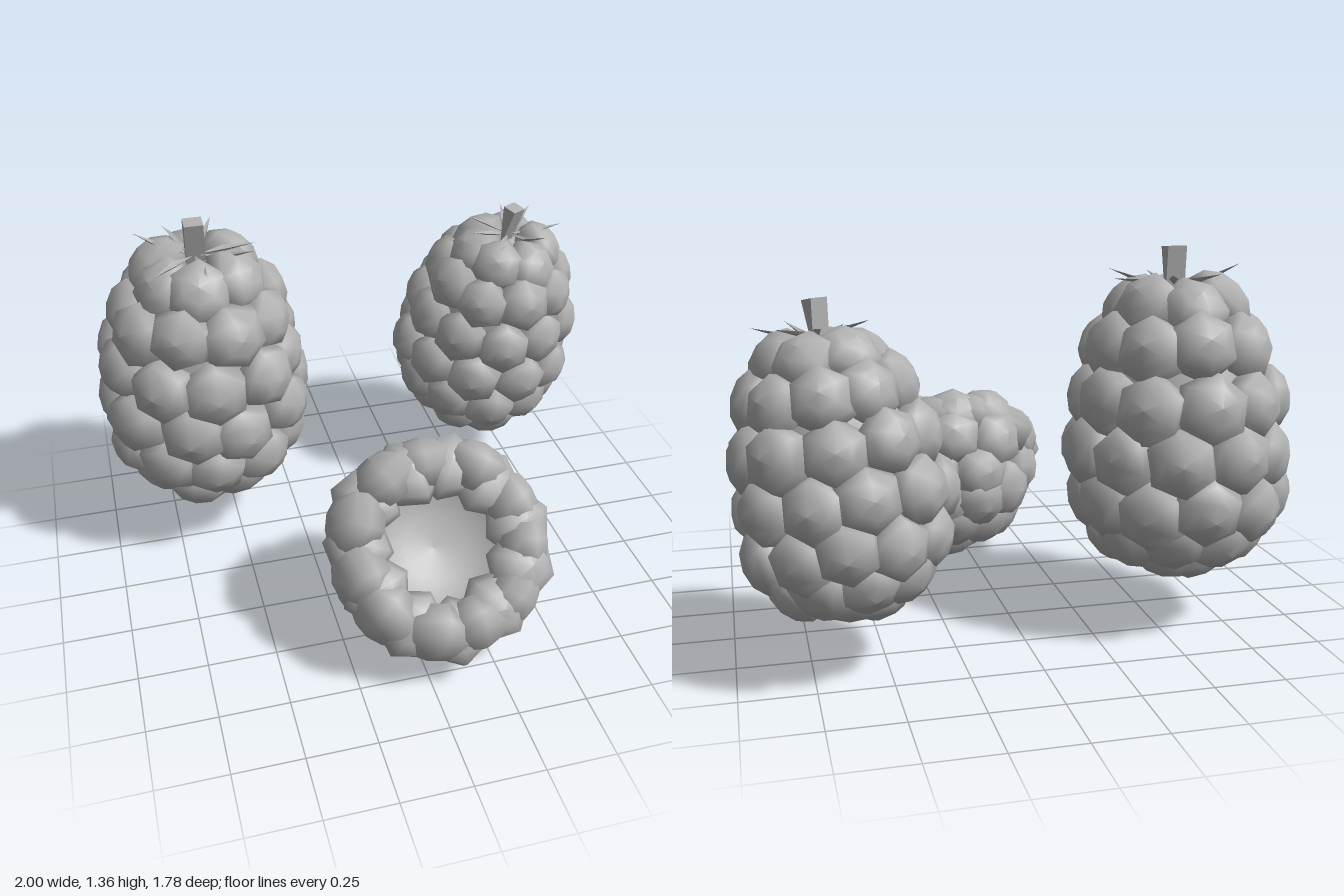
import * as THREE from 'three';

const berryGrey = new THREE.MeshStandardMaterial({ color: 0xb0b0b0, side: THREE.DoubleSide });
berryGrey.name = 'berryGrey';

// Small seeded random for natural irregularity
let seed = 7;
const rand = () => (seed = (seed * 16807) % 2147483647) / 2147483647 - 0.5;

const lathe = (points, sides) =>
  new THREE.LatheGeometry(points.map(([r, y]) => new THREE.Vector2(r, y)), sides);

function add(parent, name, geometry) {
  const mesh = new THREE.Mesh(geometry, berryGrey);
  mesh.name = name;
  parent.add(mesh);
  return mesh;
}

// Six-sided rounded bead; its outer tip sits at the origin
const bead = lathe([[0, -0.19], [0.09, -0.175], [0.13, -0.105], [0.115, -0.05], [0.065, -0.012], [0, 0]], 6);

// Rows of beads: [height, radius of the tips, elevation of the normal in degrees, count]
function addBeads(group, rows) {
  rows.forEach(([y, r, elevation, count], row) => {
    for (let i = 0; i < count; i++) {
      const a = ((i + (row % 2) / 2 + rand() * 0.14) / count) * Math.PI * 2;
      const e = THREE.MathUtils.degToRad(elevation) + rand() * 0.1;
      const out = new THREE.Vector3(Math.cos(e) * Math.sin(a), Math.sin(e), Math.cos(e) * Math.cos(a));
      const up = new THREE.Vector3(-Math.sin(e) * Math.sin(a), Math.cos(e), -Math.sin(e) * Math.cos(a));
      const side = new THREE.Vector3().crossVectors(out, up);
      const mesh = add(group, 'drupelet', bead);
      mesh.quaternion.setFromRotationMatrix(new THREE.Matrix4().makeBasis(side, out, up));
      mesh.rotateY(rand() * 0.4);
      const rr = r + rand() * 0.025;
      mesh.position.set(rr * Math.sin(a), y + rand() * 0.03, rr * Math.cos(a));
      mesh.scale.setScalar(1 + rand() * 0.08);
    }
  });
}

// Narrow folded leaf running out along +z with a raised tip
function sepalGeometry(length, rise) {
  const g = new THREE.BufferGeometry();
  g.setAttribute('position', new THREE.Float32BufferAttribute([
    0, 0, 0.01,
    -0.016, 0.02, length * 0.45,
    0, 0.005, length * 0.5,
    0.016, 0.02, length * 0.45,
    0, rise, length,
  ], 3));
  g.setIndex([0, 2, 1, 0, 3, 2, 1, 2, 4, 2, 3, 4]);
  g.computeVertexNormals();
  return g;
}

// Stem block that narrows to a wedge at its foot
function stemGeometry() {
  const g = new THREE.BoxGeometry(0.07, 0.17, 0.065);
  const p = g.attributes.position;
  for (let i = 0; i < p.count; i++) if (p.getY(i) < 0) p.setZ(i, p.getZ(i) * 0.15);
  g.computeVertexNormals();
  return g;
}

// Whole berry with stem and sepals, centred on its own middle
function wholeBerry(name) {
  const group = new THREE.Group();
  group.name = name;
  addBeads(group, [
    [0.5, 0.22, 42, 6],
    [0.325, 0.345, 18, 9],
    [0.125, 0.4, 7, 10],
    [-0.075, 0.42, 0, 10],
    [-0.275, 0.39, -15, 10],
    [-0.44, 0.28, -42, 8],
    [-0.535, 0.1, -72, 3],
  ]);
  add(group, 'core', lathe([[0, -0.46], [0.15, -0.42], [0.28, -0.27], [0.32, -0.07],
    [0.3, 0.13], [0.24, 0.33], [0.12, 0.46], [0, 0.48]], 16));
  const stem = add(group, 'stem', stemGeometry());
  stem.position.y = 0.565;
  for (let i = 0; i < 7; i++) {
    const sepal = add(group, 'sepal', sepalGeometry(0.22 + rand() * 0.06, 0.05 + rand() * 0.06));
    sepal.position.y = 0.515;
    sepal.rotation.y = ((i + rand() * 0.6) / 7) * Math.PI * 2;
  }
  return group;
}

// Hollow berry, its origin in the middle of the flat opening, which faces local +y
function hollowBerry() {
  const group = new THREE.Group();
  group.name = 'hollowBerry';
  addBeads(group, [
    [0.0, 0.31, 78, 11],
    [-0.06, 0.4, 14, 11],
    [-0.21, 0.385, -12, 10],
    [-0.36, 0.315, -32, 8],
    [-0.47, 0.18, -62, 5],
    [-0.515, 0, -90, 1],
  ]);
  add(group, 'shell', lathe([[0, -0.44], [0.15, -0.4], [0.25, -0.3], [0.31, -0.18], [0.3, -0.04]], 20));
  add(group, 'cavity', lathe([[0.3, -0.04], [0.25, -0.08], [0.2, -0.125], [0.11, -0.165], [0, -0.18]], 20));
  return group;
}

export function createModel() {
  seed = 7;
  const model = new THREE.Group();
  model.name = 'berries';

  const large = wholeBerry('largeBerry');
  large.position.set(-0.585, 0.735, -0.38);
  large.rotation.x = 0.1;

  const small = wholeBerry('smallBerry');
  small.position.set(0.635, 0.68, -0.53);
  small.rotation.set(0.18, 0.5, -0.1, 'XZY');
  small.scale.setScalar(0.89);

  const hollow = hollowBerry();
  hollow.position.set(0.095, 0.495, 0.61);
  hollow.rotation.x = 0.81;

  model.add(large, small, hollow);
  return model;
}
